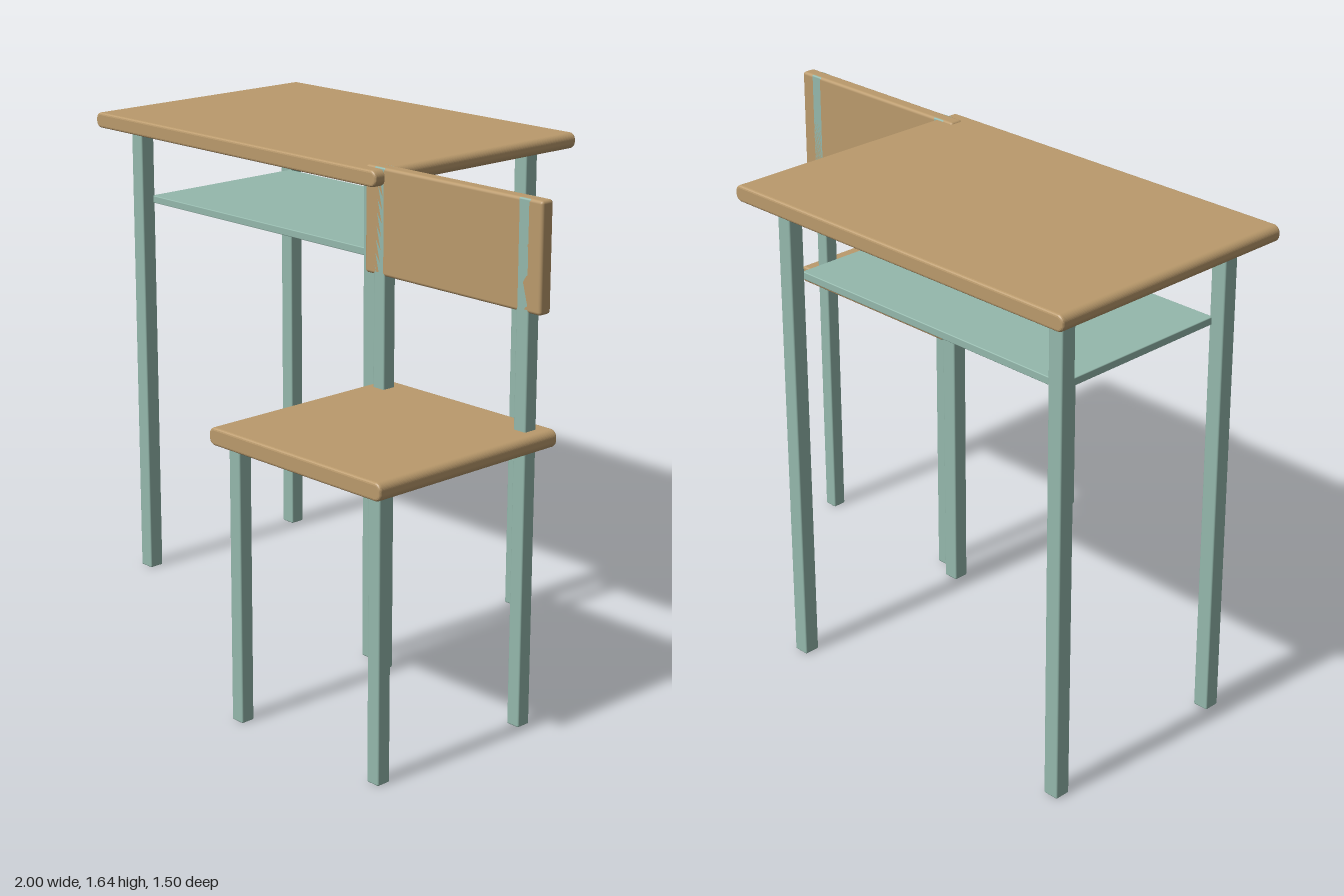
import * as THREE from 'three';
import { RoundedBoxGeometry } from 'three/addons/geometries/RoundedBoxGeometry.js';

const wood = new THREE.MeshStandardMaterial({ color: 0xba9a6c });
const paint = new THREE.MeshStandardMaterial({ color: 0x94b8ac });

// Bar or panel given by its extents, with slightly eased edges
function bar(name, [x0, x1], [y0, y1], [z0, z1], material, radius = 0.005) {
  const geometry = new RoundedBoxGeometry(x1 - x0, y1 - y0, z1 - z0, 2, radius);
  const mesh = new THREE.Mesh(geometry, material);
  mesh.name = name;
  mesh.position.set((x0 + x1) / 2, (y0 + y1) / 2, (z0 + z1) / 2);
  return mesh;
}

// Wooden board: strongly rounded left and right edges, small bevel front and back
function board(name, [x0, x1], [y0, y1], [z0, z1]) {
  const b = 0.008, r = 0.014;
  const l = x0 + b, t = x1 - b, d = y0 + b, u = y1 - b;
  const shape = new THREE.Shape();
  shape.moveTo(l + r, d);
  shape.lineTo(t - r, d);
  shape.absarc(t - r, d + r, r, -Math.PI / 2, 0);
  shape.lineTo(t, u - r);
  shape.absarc(t - r, u - r, r, 0, Math.PI / 2);
  shape.lineTo(l + r, u);
  shape.absarc(l + r, u - r, r, Math.PI / 2, Math.PI);
  shape.lineTo(l, d + r);
  shape.absarc(l + r, d + r, r, Math.PI, Math.PI * 1.5);
  const geometry = new THREE.ExtrudeGeometry(shape, {
    depth: z1 - z0 - 2 * b, bevelThickness: b, bevelSize: b, bevelSegments: 3, curveSegments: 5,
  });
  const mesh = new THREE.Mesh(geometry, wood);
  mesh.name = name;
  mesh.position.z = z0 + b;
  return mesh;
}

function createDesk() {
  const desk = new THREE.Group();
  desk.name = 'desk';
  desk.add(board('deskTop', [-1, 0.36], [1.58, 1.632], [-0.75, 0.155]));
  desk.add(bar('deskShelf', [-0.87, 0.23], [1.32, 1.345], [-0.61, 0.025], paint, 0.003));
  for (const x of [-0.915, 0.222])
    for (const z of [-0.661, 0.018])
      desk.add(bar('deskLeg', [x, x + 0.053], [0, 1.57], [z, z + 0.053], paint));
  return desk;
}

function createChair() {
  const chair = new THREE.Group();
  chair.name = 'chair';
  chair.add(board('seat', [0.275, 1], [0.885, 0.94], [0.025, 0.75]));
  chair.add(bar('backrest', [0.275, 1], [1.3, 1.637], [0.067, 0.115], wood, 0.01));
  for (const x of [0.314, 0.907]) {
    chair.add(bar('frontChairLeg', [x, x + 0.047], [0, 0.89], [0.659, 0.706], paint));
    // Rear legs run up through the backrest
    chair.add(bar('rearChairLeg', [x, x + 0.047], [0, 1.636], [0.067, 0.115], paint));
  }
  return chair;
}

export function createModel() {
  const model = new THREE.Group();
  model.name = 'schoolDeskAndChair';
  model.add(createDesk(), createChair());
  return model;
}
